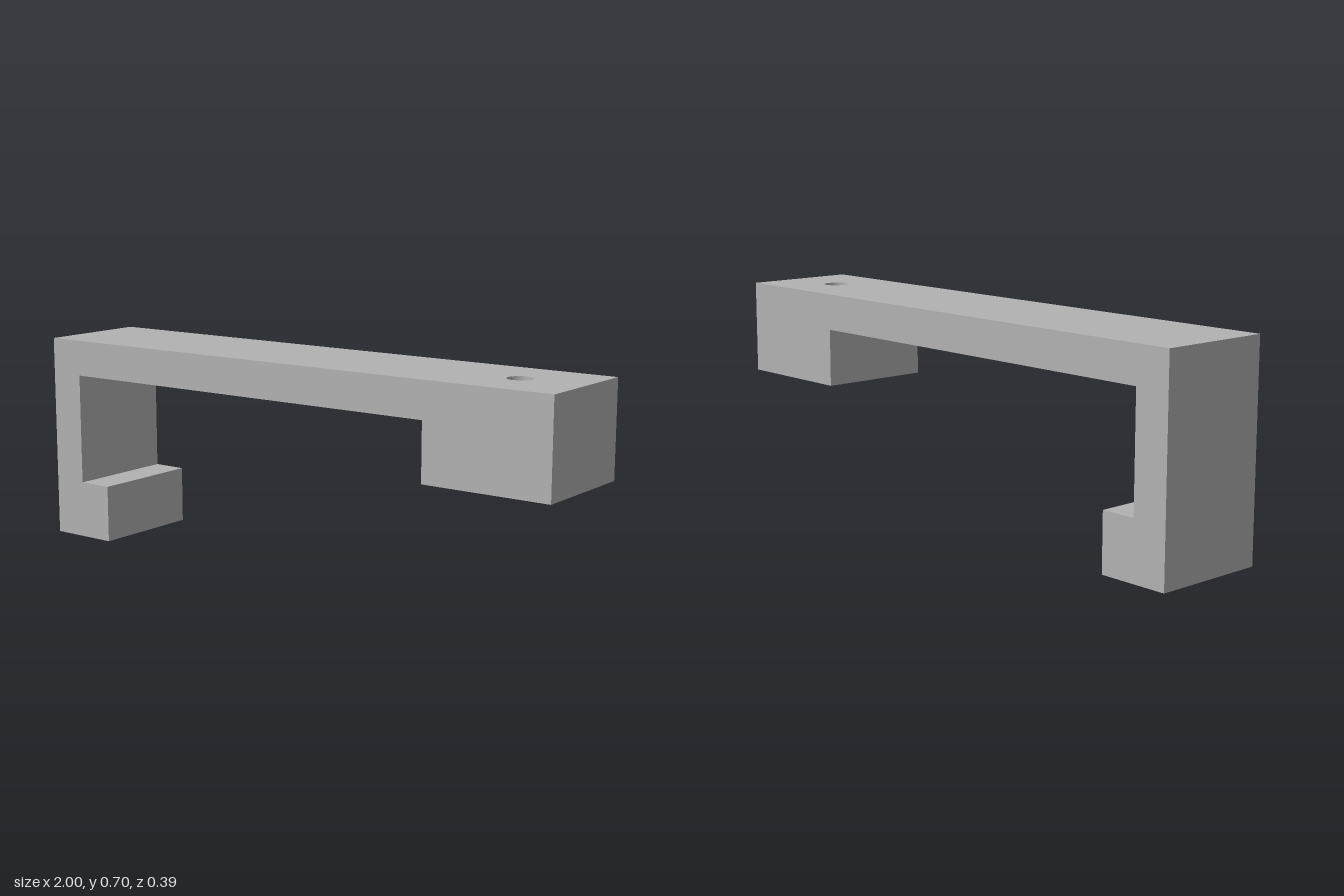
import * as THREE from 'three';

const DEPTH = 0.394;
const TOP = 0.704;
const SEAM = 0.556;

export function createModel() {
  const group = new THREE.Group();
  group.name = 'hookBracket';
  const grey = new THREE.MeshStandardMaterial({ color: 0xb2b2b2 });
  grey.name = 'plain grey';

  const add = (name, geometry) => {
    const mesh = new THREE.Mesh(geometry, grey);
    mesh.name = name;
    group.add(mesh);
  };

  // Long arm, upright and hook lip share one side profile
  const profile = new THREE.Shape([
    [-1, 0], [-0.756, 0], [-0.756, 0.197], [-0.878, 0.197],
    [-0.878, 0.581], [SEAM, 0.581], [SEAM, TOP], [-1, TOP],
  ].map(([x, y]) => new THREE.Vector2(x, y)));
  const arm = new THREE.ExtrudeGeometry(profile, { depth: DEPTH, bevelEnabled: false });
  arm.translate(0, 0, -DEPTH / 2);
  add('hookedArm', arm);

  // Mounting block with a vertical screw hole through it
  const bottom = 0.384;
  const h = DEPTH / 2;
  const plan = new THREE.Shape([
    [SEAM, -h], [1, -h], [1, h], [SEAM, h],
  ].map(([x, y]) => new THREE.Vector2(x, y)));
  plan.holes.push(new THREE.Path().absarc(0.777, 0, 0.042, 0, Math.PI * 2, true));
  const block = new THREE.ExtrudeGeometry(plan, {
    depth: TOP - bottom, bevelEnabled: false, curveSegments: 32,
  });
  block.rotateX(-Math.PI / 2);
  block.translate(0, bottom, 0);
  add('mountingBlock', block);

  return group;
}
